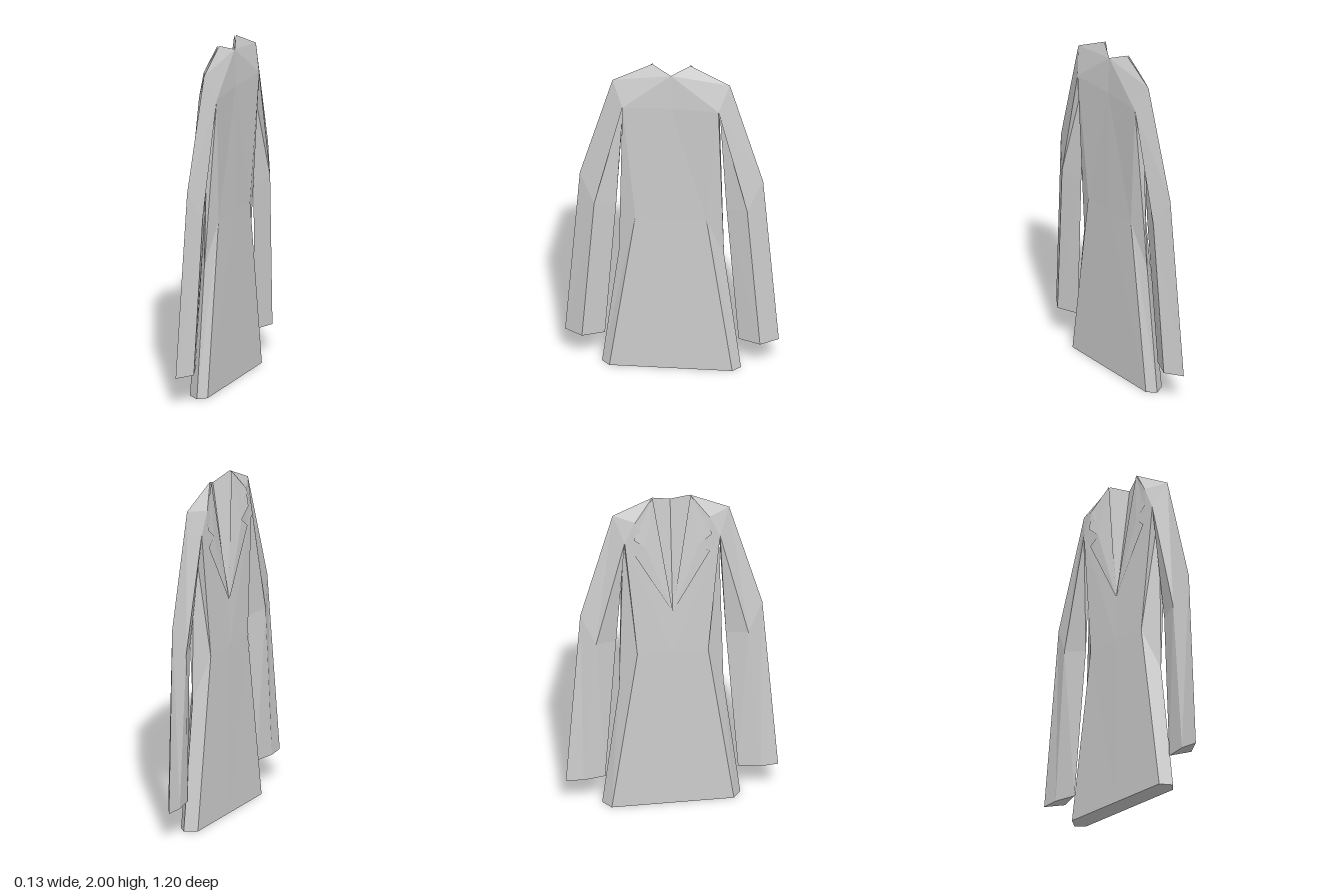
import * as THREE from 'three';

const cloth = new THREE.MeshStandardMaterial({ color: 0xcccccc, flatShading: true, side: THREE.DoubleSide });
cloth.name = 'pale grey cloth';

// Builds one mesh from triangles of [x, y, z] points, for the left (+z) or mirrored half
function panel(name, tris, side) {
  const pos = [];
  for (const [a, b, c] of tris)
    for (const p of side > 0 ? [a, b, c] : [a, c, b]) pos.push(p[0], p[1], p[2] * side);
  const g = new THREE.BufferGeometry();
  g.setAttribute('position', new THREE.Float32BufferAttribute(pos, 3));
  g.computeVertexNormals();
  const m = new THREE.Mesh(g, cloth);
  m.name = name;
  return m;
}

// Joins cross-sections listed from bottom to top
function loft(rings, closed) {
  const tris = [];
  for (let r = 0; r < rings.length - 1; r++) {
    const lo = rings[r], up = rings[r + 1], n = lo.length;
    for (let i = 0; i < (closed ? n : n - 1); i++) {
      const j = (i + 1) % n;
      tris.push([lo[i], lo[j], up[j]], [lo[i], up[j], up[i]]);
    }
  }
  return tris;
}

// Downward facing end of a sleeve or hem
function cap(ring) {
  const tris = [];
  for (let i = 1; i < ring.length - 1; i++) tris.push([ring[0], ring[i + 1], ring[i]]);
  return tris;
}

export function createModel() {
  const coat = new THREE.Group();
  coat.name = 'coat';

  // Shared seam points
  const vee = [-0.055, 1.27, 0], neck = [0.045, 1.955, 0], peak = [0, 2, 0.107];
  const shoulder = [0.015, 1.89, 0.33], chest = [-0.045, 1.87, 0.21];
  const pitFront = [-0.045, 1.74, 0.27], pitSide = [0.01, 1.74, 0.27], pitBack = [0.065, 1.74, 0.27];
  const spine = [0.052, 1.74, 0];

  // Torso sections run from front centre round the side to back centre
  const hem = [[-0.065, 0, 0], [-0.065, 0, 0.345], [0, 0, 0.39], [0.045, 0, 0.345], [0.045, 0, 0]];
  const waist = [[-0.065, 1, 0], [-0.062, 1, 0.2], [0, 0.75, 0.295], [0.042, 1, 0.2], [0.045, 1, 0]];
  const bust = [vee, pitFront, pitSide, pitBack, spine];

  // Sleeve sections: outer, back, inner, front
  const cuff = [[-0.03, 0.18, 0.6], [0.035, 0.18, 0.5], [-0.015, 0.18, 0.375], [-0.04, 0.18, 0.5]];
  const elbow = [[0, 1.25, 0.515], [0.055, 1.08, 0.43], [0.01, 1.06, 0.31], [-0.04, 1.08, 0.43]];
  const armhole = [shoulder, pitBack, pitSide, pitFront];

  // Lapel points
  const root = [-0.062, 1.27, 0], tip = [-0.055, 1.65, 0.21], notch = [-0.052, 1.7, 0.15];
  const collarTip = [-0.055, 1.76, 0.22], collarTop = [-0.01, 2, 0.107];

  for (const side of [1, -1]) {
    const half = new THREE.Group();
    half.name = side > 0 ? 'coatHalfA' : 'coatHalfB';
    half.add(
      panel('body', [...loft([hem, waist, bust]), ...cap(hem)], side),
      panel('upperBack', [[pitBack, spine, neck], [pitBack, neck, shoulder], [shoulder, neck, peak]], side),
      panel('upperFront', [[vee, pitFront, chest], [pitFront, shoulder, chest],
        [chest, shoulder, peak], [vee, chest, peak]], side),
      panel('neckLining', [[vee, peak, neck]], side),
      panel('lapel', [[root, tip, notch], [root, notch, collarTop]], side),
      panel('collar', [[collarTop, notch, collarTip], [collarTop, collarTip, chest]], side),
      panel('sleeve', [...loft([cuff, elbow, armhole], true), ...cap(cuff)], side)
    );
    coat.add(half);
  }
  return coat;
}
